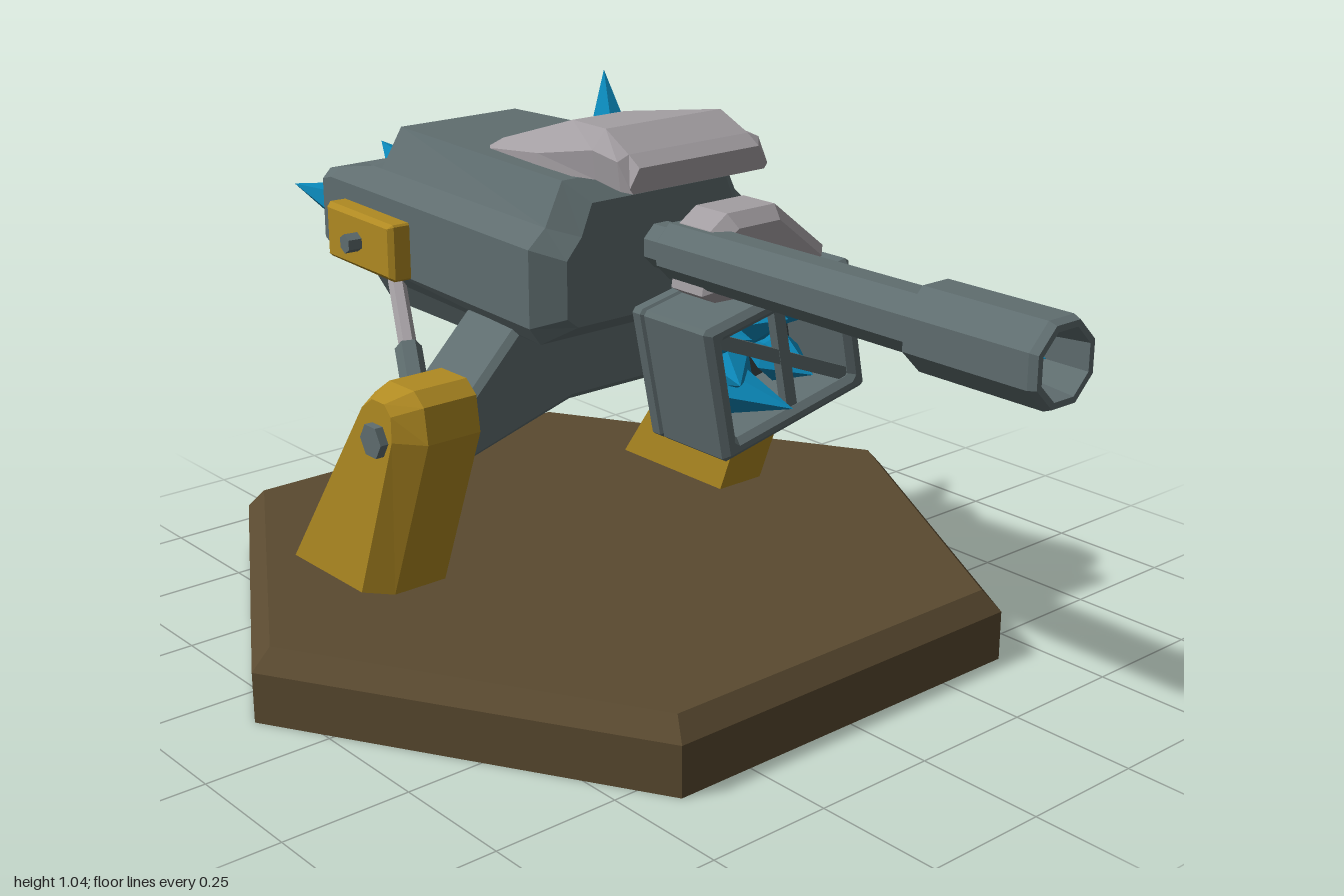
import * as THREE from 'three';

const mat = (color, side = THREE.FrontSide) =>
  new THREE.MeshStandardMaterial({ color, flatShading: true, side });
const STEEL = mat(0x5f6d6f), BRASS = mat(0xb08a22), PALE = mat(0xa39ea2);
const BLUE = mat(0x0a84b4), WOOD = mat(0x5a4a30, THREE.DoubleSide), DARK = mat(0x3c4648);
const V = (x, y, z) => new THREE.Vector3(x, y, z);

export function createModel() {
  const model = new THREE.Group();
  model.name = 'turret';

  const add = (name, geo, material, parent = model) => {
    const m = new THREE.Mesh(geo, material);
    m.name = name;
    parent.add(m);
    return m;
  };

  // Skin over rings of equal length; each ring runs counter-clockwise seen from the first ring's side
  const loft = (rings) => {
    const pos = [], tri = (...p) => p.forEach((v) => pos.push(v.x, v.y, v.z));
    const n = rings[0].length, last = rings[rings.length - 1];
    for (let i = 0; i < rings.length - 1; i++)
      for (let j = 0; j < n; j++) {
        const k = (j + 1) % n, [p, q] = [rings[i], rings[i + 1]];
        tri(p[j], q[j], p[k]);
        tri(p[k], q[j], q[k]);
      }
    for (let j = 1; j < n - 1; j++) {
      tri(rings[0][0], rings[0][j], rings[0][j + 1]);
      tri(last[0], last[j + 1], last[j]);
    }
    const g = new THREE.BufferGeometry();
    g.setAttribute('position', new THREE.Float32BufferAttribute(pos, 3));
    g.computeVertexNormals();
    return g;
  };

  // Symmetric ring at z from half-section points [x, y], bottom to top
  const ring = (z, half) => [
    ...half.map(([x, y]) => V(x, y, z)),
    ...[...half].reverse().map(([x, y]) => V(-x, y, z)),
  ];

  const shapeOf = (pts) => new THREE.Shape(pts.map(([x, y]) => new THREE.Vector2(x, y)));
  const slab = (shape, z0, z1, bevel = 0) => new THREE.ExtrudeGeometry(shape, {
    depth: z1 - z0 - 2 * bevel, bevelEnabled: bevel > 0, bevelSize: bevel,
    bevelThickness: bevel, bevelOffset: -bevel, bevelSegments: 1,
  }).translate(0, 0, z0 + bevel);

  const turned = (pts, sides) => new THREE.LatheGeometry(
    pts.map(([r, y]) => new THREE.Vector2(r, y)), sides, Math.PI / sides);

  // Aim a y-up geometry along a segment
  const aim = (mesh, a, b) => {
    mesh.position.copy(a);
    mesh.quaternion.setFromUnitVectors(V(0, 1, 0), b.clone().sub(a).normalize());
    return mesh;
  };
  const rod = (name, a, b, r, material, sides = 6) => {
    const h = a.distanceTo(b);
    return aim(add(name, new THREE.CylinderGeometry(r, r, h, sides).translate(0, h / 2, 0), material), a, b);
  };
  const crystal = (name, a, b, r, parent = model) => {
    const h = a.distanceTo(b);
    return aim(add(name, turned([[0, 0], [r * 0.6, 0], [r, h * 0.35], [0, h]], 6), BLUE, parent), a, b);
  };

  // Hexagonal plinth, open underneath
  const plinth = new THREE.LatheGeometry(
    [[0.82, 0], [0.82, 0.1], [0.78, 0.14], [0, 0.14]].map((p) => new THREE.Vector2(...p)), 6, Math.PI / 2);
  add('base', plinth, WOOD).position.z = -0.14;

  // Legs, bolts and pistons on both sides
  const legInner = [[-0.18, 0.14], [-0.5, 0.14], [-0.22, 0.54], [-0.17, 0.575], [-0.09, 0.575], [-0.06, 0.55], [-0.05, 0.48]];
  const legOuter = [[-0.23, 0.14], [-0.47, 0.14], [-0.2, 0.525], [-0.165, 0.55], [-0.125, 0.55], [-0.105, 0.53], [-0.105, 0.48]];
  for (const s of [1, -1]) {
    const side = s > 0 ? 'left' : 'right';
    const rings = [[0.523, legOuter], [0.48, legInner], [0.363, legInner]].map(([x, prof]) => {
      const r = prof.map(([z, y]) => V(s * x, y, z));
      return s > 0 ? r : r.reverse();
    });
    add(side + 'Leg', loft(rings), BRASS);
    rod(side + 'LegBolt', V(s * 0.5, 0.475, -0.15), V(s * 0.54, 0.475, -0.15), 0.034, STEEL);
    const a = V(s * 0.36, 0.45, -0.25), b = V(s * 0.23, 0.65, -0.51);
    const mid = a.clone().lerp(b, 0.5);
    rod(side + 'PistonSleeve', a, mid, 0.027, STEEL);
    rod(side + 'PistonRod', mid, b, 0.018, PALE);
  }

  // Yoke carrying the body between the legs
  add('yoke', slab(shapeOf([
    [-0.37, 0.41], [-0.12, 0.48], [0.12, 0.48], [0.37, 0.41], [0.37, 0.53],
    [0.25, 0.65], [-0.25, 0.65], [-0.37, 0.53],
  ]), -0.25, -0.08, 0.012), STEEL);

  // Main body with raised deck, narrowing to the rear
  add('body', loft([
    ring(0.04, [[0.2, 0.67], [0.225, 0.69], [0.225, 0.8], [0.19, 0.84], [0.165, 0.9]]),
    ring(-0.01, [[0.25, 0.635], [0.275, 0.67], [0.275, 0.82], [0.235, 0.855], [0.195, 0.937]]),
    ring(-0.6, [[0.21, 0.635], [0.237, 0.67], [0.237, 0.82], [0.195, 0.857], [0.145, 0.937]]),
    ring(-0.635, [[0.208, 0.635], [0.235, 0.67], [0.235, 0.82], [0.192, 0.857], [0.14, 0.866]]),
    ring(-0.745, [[0.2, 0.635], [0.228, 0.67], [0.228, 0.82], [0.205, 0.838], [0.14, 0.838]]),
    ring(-0.78, [[0.19, 0.66], [0.225, 0.685], [0.225, 0.81], [0.205, 0.83], [0.14, 0.83]]),
  ]), STEEL);
  add('underBody', loft([
    ring(-0.31, [[0.1, 0.6], [0.15, 0.65]]),
    ring(-0.36, [[0.1, 0.53], [0.17, 0.65]]),
    ring(-0.74, [[0.09, 0.53], [0.16, 0.65]]),
  ]), STEEL);

  // Pale hood with a pinched waist
  add('hood', loft([
    ring(0.15, [[0.16, 0.935], [0.168, 0.945], [0.145, 0.98]]),
    ring(0.12, [[0.165, 0.935], [0.172, 0.99], [0.145, 1.0]]),
    ring(0.05, [[0.165, 0.945], [0.172, 1.0], [0.14, 1.035]]),
    ring(-0.14, [[0.15, 0.925], [0.15, 0.96], [0.065, 1.012]]),
    ring(-0.3, [[0.13, 0.92], [0.132, 0.94], [0.11, 0.958]]),
    ring(-0.34, [[0.128, 0.92], [0.128, 0.932], [0.11, 0.938]]),
  ]), PALE);

  // Barrel and hollow muzzle
  const gun = new THREE.Group();
  gun.name = 'gun';
  gun.position.set(0, 0.795, 0);
  gun.rotation.x = Math.PI / 2;
  model.add(gun);
  add('barrel', turned([[0, 0], [0.045, 0], [0.045, 0.075], [0.058, 0.09], [0.058, 0.74], [0, 0.74]], 8), STEEL, gun);
  add('muzzle', turned([[0.055, 0.71], [0.08, 0.725], [0.08, 0.985], [0.074, 1], [0.062, 1], [0.045, 0.86], [0, 0.86]], 8), STEEL, gun);
  crystal('muzzleCrystal', V(0, 0.85, 0), V(0, 0.96, 0), 0.028, gun);

  // Bracket from the barrel to the crystal box
  add('boxBracket', slab(shapeOf([
    [-0.03, 0.73], [0.06, 0.68], [0.27, 0.72], [0.28, 0.775], [0.15, 0.877], [0.03, 0.877], [-0.01, 0.85],
  ]), 0.08, 0.215, 0.025), PALE);

  // Tilted crystal box with barred front
  const box = new THREE.Group();
  box.name = 'crystalBox';
  box.position.set(0.117, 0.598, 0);
  box.rotation.z = 0.2;
  model.add(box);
  const rect = (w, h, c) => [[-w + c, -h], [w - c, -h], [w, -h + c], [w, h - c], [w - c, h], [-w + c, h], [-w, h - c], [-w, -h + c]];
  const shell = shapeOf(rect(0.188, 0.135, 0.008));
  add('boxBack', slab(shell, 0.055, 0.1, 0.012), STEEL, box);
  const rim = shapeOf(rect(0.188, 0.135, 0.008));
  rim.holes.push(new THREE.Path(rect(0.15, 0.1, 0.004).map((p) => new THREE.Vector2(...p)).reverse()));
  add('boxRim', slab(rim, 0.088, 0.275, 0.012), STEEL, box);
  add('boxPost', new THREE.BoxGeometry(0.026, 0.22, 0.02).translate(0, 0, 0.252), STEEL, box);
  const brace = add('boxBrace', new THREE.BoxGeometry(0.36, 0.026, 0.018), STEEL, box);
  brace.position.z = 0.252;
  brace.rotation.z = -0.58;
  add('boxLining', new THREE.BoxGeometry(0.3, 0.2, 0.01).translate(0, 0, 0.105), DARK, box);
  for (const [x, y, tx, ty, tz] of [
    [-0.09, 0.05, -0.06, 0.06, 0.245], [-0.08, -0.05, -0.04, -0.075, 0.31], [0.02, 0.03, 0.04, 0.06, 0.24],
    [0.09, 0.05, 0.11, 0.05, 0.26], [0.08, -0.05, 0.06, -0.06, 0.265], [-0.02, -0.03, -0.1, -0.02, 0.24],
  ]) crystal('boxCrystal', V(x, y, 0.1), V(tx, ty, tz), 0.05, box);

  // Glowing slot on the left flank
  const slot = new THREE.Group();
  slot.name = 'sideSlot';
  slot.position.set(0.247, 0.768, -0.455);
  slot.rotation.y = 0.066;
  model.add(slot);
  add('slotGlow', new THREE.BoxGeometry(0.008, 0.055, 0.49), BLUE, slot);
  for (const s of [1, -1]) {
    add('slotRail', new THREE.BoxGeometry(0.018, 0.009, 0.52).translate(0, s * 0.032, 0), DARK, slot);
    add('slotEnd', new THREE.BoxGeometry(0.018, 0.064, 0.015).translate(0, 0, s * 0.252), DARK, slot);
  }

  // Bolted plate on the right flank
  const plate = new THREE.Group();
  plate.name = 'sidePlate';
  plate.position.set(-0.24, 0.727, -0.56);
  plate.rotation.set(0, -0.066 - Math.PI / 2, 0);
  model.add(plate);
  add('plate', slab(shapeOf(rect(0.13, 0.058, 0.004)), -0.01, 0.045, 0.01), BRASS, plate);
  add('plateBolt', new THREE.CylinderGeometry(0.02, 0.02, 0.05, 6).rotateX(Math.PI / 2).translate(0, 0, 0.05), STEEL, plate);

  // Crystals growing from the rear and deck
  crystal('rearCrystalMiddle', V(0.025, 0.735, -0.76), V(0.065, 0.815, -0.995), 0.055);
  crystal('rearCrystalRight', V(-0.135, 0.73, -0.76), V(-0.195, 0.765, -0.945), 0.042);
  crystal('rearCrystalLeft', V(0.165, 0.72, -0.76), V(0.212, 0.75, -0.915), 0.035);
  crystal('deckCrystal', V(0.165, 0.89, -0.31), V(0.23, 1.037, -0.405), 0.036);

  return model;
}
